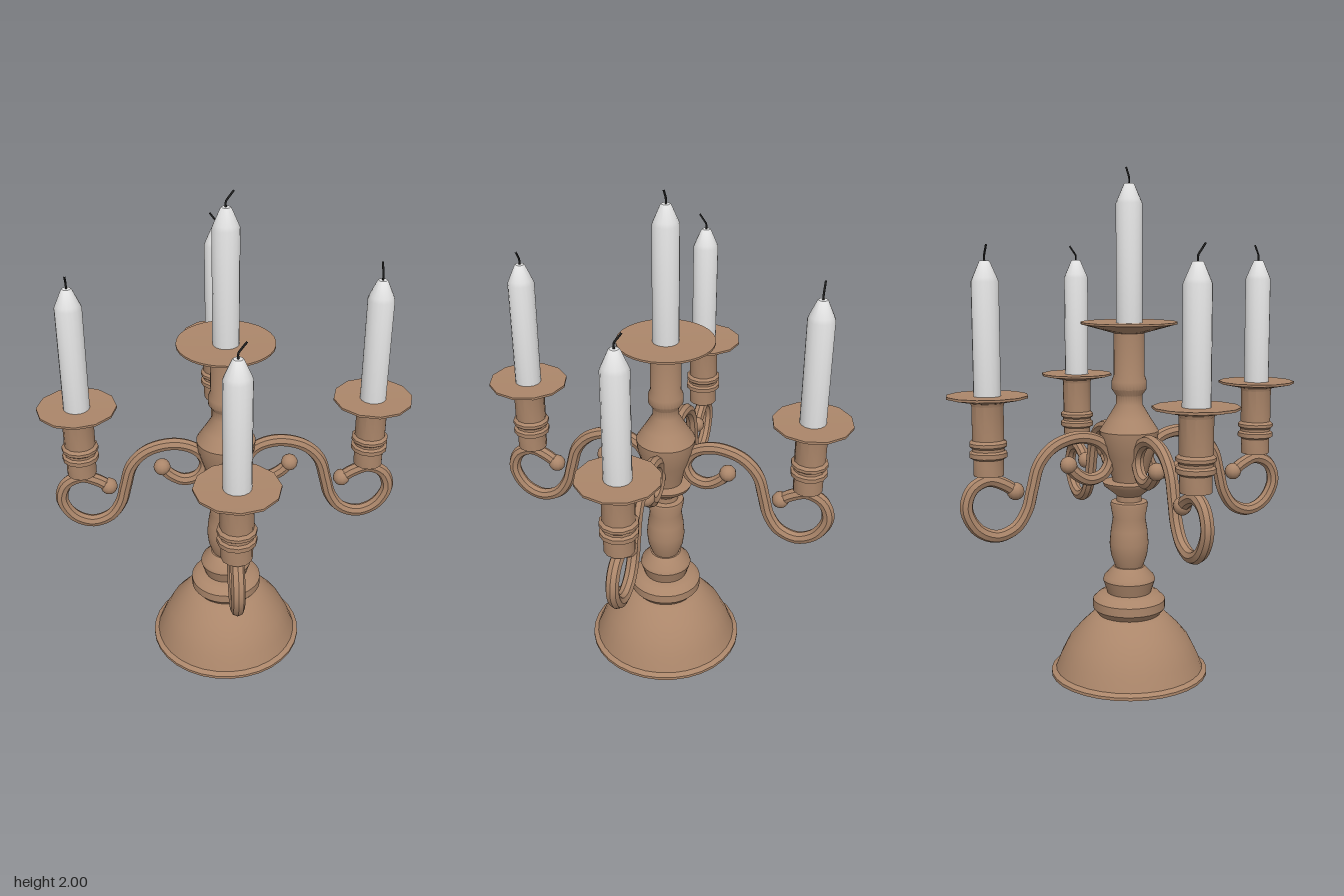
import * as THREE from 'three';
import { toCreasedNormals } from 'three/addons/utils/BufferGeometryUtils.js';

const mat = (name, color) => {
  const m = new THREE.MeshStandardMaterial({ color });
  m.name = name;
  return m;
};

export function createModel() {
  const bronze = mat('bronze', 0xab866a);
  const wax = mat('wax', 0xe0e0e0);
  const soot = mat('soot', 0x222222);

  const add = (parent, name, geometry, material) => {
    const mesh = new THREE.Mesh(geometry, material);
    mesh.name = name;
    parent.add(mesh);
    return mesh;
  };
  // Turned part from [radius, height] pairs, bottom to top
  const turned = (points, sides) => toCreasedNormals(
    new THREE.LatheGeometry(points.map(([r, y]) => new THREE.Vector2(r, y)), sides), 0.6);

  // Candle with a tapered tip and a bent wick leaning towards (dx, dz)
  const addCandle = (parent, x, bottom, top, dx, dz) => {
    const candle = new THREE.Group();
    candle.name = 'candle';
    candle.position.x = x;
    parent.add(candle);
    add(candle, 'candleBody', turned([
      [0, bottom], [0.051, bottom], [0.051, top - 0.075], [0.045, top - 0.06],
      [0.02, top - 0.003], [0.016, top], [0, top],
    ], 16), wax);
    const path = new THREE.CatmullRomCurve3([
      [0, -0.005], [0, 0.02], [0.35, 0.035], [1, 0.06],
    ].map(([k, y]) => new THREE.Vector3(dx * k, top + y, dz * k)));
    add(candle, 'wick', new THREE.TubeGeometry(path, 8, 0.004, 5), soot);
  };

  const model = new THREE.Group();
  model.name = 'candelabrum';

  // Flared foot with stepped collars
  add(model, 'base', turned([
    [0, 0], [0.315, 0], [0.315, 0.012], [0.296, 0.022], [0.275, 0.075], [0.242, 0.14],
    [0.2, 0.19], [0.15, 0.238], [0.125, 0.245], [0.145, 0.27], [0.145, 0.305],
    [0.122, 0.327], [0.088, 0.333], [0.105, 0.385], [0.1, 0.4], [0.062, 0.44], [0, 0.44],
  ], 32), bronze);

  // Vase stem, drip collar, arm hub, and neck
  add(model, 'stem', turned([
    [0, 0.435], [0.054, 0.435], [0.072, 0.485], [0.078, 0.535], [0.073, 0.59], [0.065, 0.64],
    [0.075, 0.695], [0.072, 0.705], [0.05, 0.708], [0.05, 0.73], [0.062, 0.74],
    [0.1, 0.77], [0.106, 0.785], [0.065, 0.79], [0.075, 0.83], [0.095, 0.89],
    [0.113, 0.95], [0.117, 0.99], [0.085, 1.04], [0.052, 1.095], [0.052, 1.13],
    [0.069, 1.155], [0.069, 1.185], [0.06, 1.21], [0.06, 1.38], [0, 1.38],
  ], 32), bronze);

  // Top drip plate
  add(model, 'topPlate', turned([
    [0, 1.373], [0.062, 1.373], [0.188, 1.408], [0.188, 1.416], [0, 1.41],
  ], 32), bronze);
  addCandle(model, 0, 1.405, 1.94, 0.02, 0.02);

  // Scroll path in the arm's own plane: inner curl, S bend, outer curl
  const scroll = new THREE.CatmullRomCurve3([
    [0.255, 0.87], [0.225, 0.835], [0.17, 0.807], [0.11, 0.825], [0.082, 0.885],
    [0.12, 0.948], [0.205, 0.976], [0.31, 0.95], [0.374, 0.885], [0.403, 0.79],
    [0.425, 0.71], [0.471, 0.645], [0.546, 0.619], [0.62, 0.652], [0.662, 0.735],
    [0.638, 0.808], [0.576, 0.838], [0.515, 0.818], [0.47, 0.787],
  ].map(([x, y]) => new THREE.Vector3(x, y, 0)));
  const scrollGeometry = toCreasedNormals(new THREE.TubeGeometry(scroll, 90, 0.025, 8), 0.6);
  const ballGeometry = new THREE.SphereGeometry(0.034, 12, 8);

  // Twelve-sided candle holder with two rings and a drip plate
  const holderGeometry = turned([
    [0, 0.858], [0.058, 0.858], [0.058, 0.92], [0.072, 0.928], [0.072, 0.945], [0.062, 0.952],
    [0.062, 0.962], [0.072, 0.97], [0.072, 0.982], [0.061, 0.992], [0.061, 1.12],
    [0.065, 1.132], [0.154, 1.15], [0.154, 1.159], [0, 1.155],
  ], 12);

  // Four arms on the diagonals
  for (let i = 0; i < 4; i++) {
    const arm = new THREE.Group();
    arm.name = 'arm';
    arm.rotation.y = Math.PI / 4 + i * Math.PI / 2;
    model.add(arm);
    add(arm, 'scroll', scrollGeometry, bronze);
    for (const t of [0, 1]) {
      add(arm, 'scrollBall', ballGeometry, bronze).position.copy(scroll.getPoint(t));
    }
    add(arm, 'candleHolder', holderGeometry, bronze).position.x = 0.573;
    addCandle(arm, 0.573, 1.15, 1.65, 0, -0.028);
  }
  return model;
}
